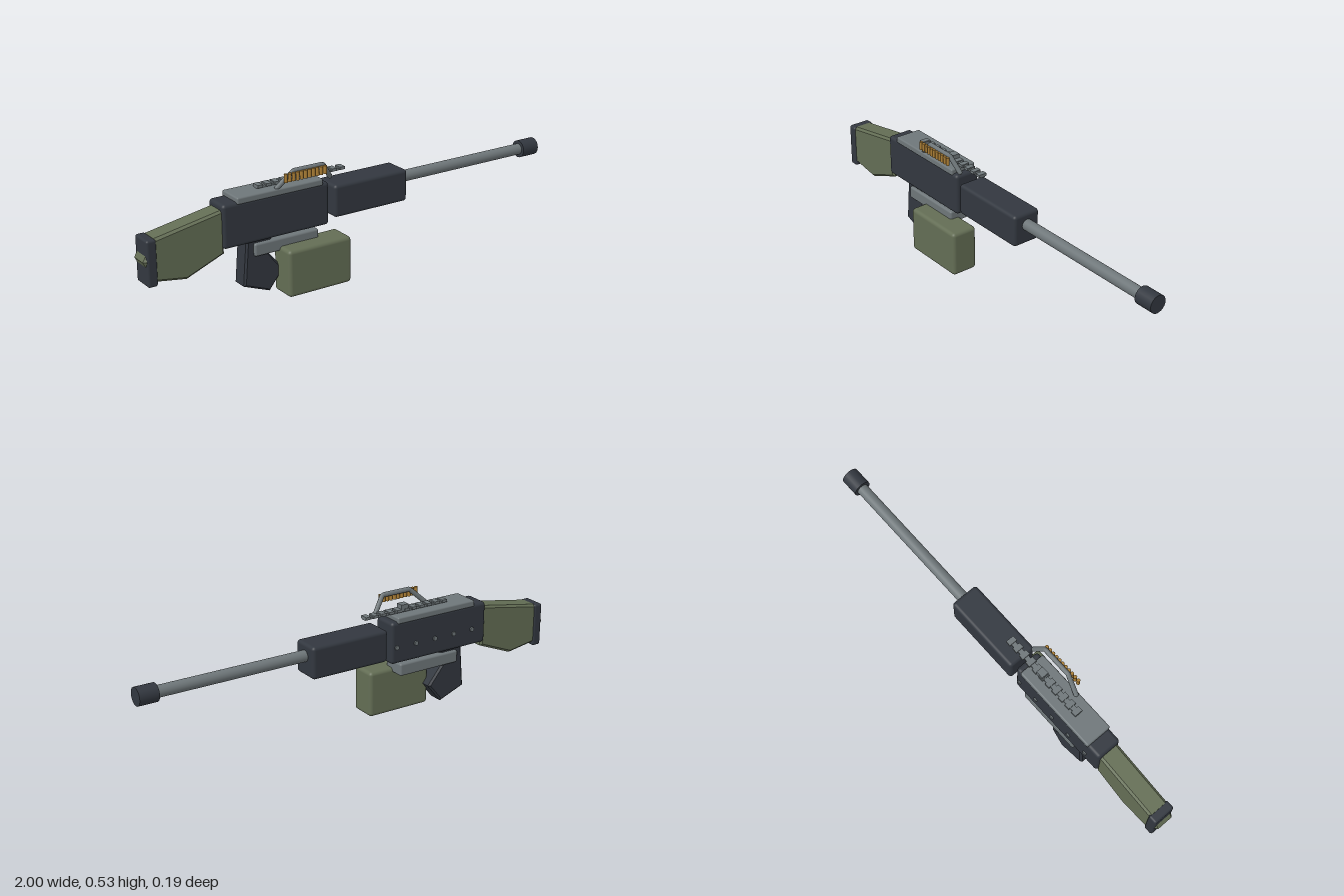
import * as THREE from 'three';
import { RoundedBoxGeometry } from 'three/addons/geometries/RoundedBoxGeometry.js';

const AXIS_Z = -0.03; // centre plane of the main body

function material(name, color) {
  const m = new THREE.MeshStandardMaterial({ color });
  m.name = name;
  return m;
}

export function createModel() {
  const model = new THREE.Group();
  const dark = material('dark gunmetal', 0x32373f);
  const steel = material('grey steel', 0x6e7679);
  const olive = material('olive', 0x636d54);
  const brass = material('brass', 0xa87c34);

  function add(name, geometry, mat, x = 0, y = 0, z = 0, parent = model) {
    const mesh = new THREE.Mesh(geometry, mat);
    mesh.name = name;
    mesh.position.set(x, y, z);
    parent.add(mesh);
    return mesh;
  }

  // Rounded box given by its extents on each axis
  function block(name, mat, [x0, x1], [y0, y1], [z0, z1], radius) {
    const g = new RoundedBoxGeometry(x1 - x0, y1 - y0, z1 - z0, 3, radius);
    return add(name, g, mat, (x0 + x1) / 2, (y0 + y1) / 2, (z0 + z1) / 2);
  }

  // Side profile extruded across z, with chamfered rims inside the outline
  function slab(name, mat, points, width, bevel) {
    const shape = new THREE.Shape(points.map(([x, y]) => new THREE.Vector2(x, y)));
    const g = new THREE.ExtrudeGeometry(shape, {
      depth: width - 2 * bevel, bevelEnabled: true, bevelSize: bevel,
      bevelThickness: bevel, bevelOffset: -bevel, bevelSegments: 1,
    });
    return add(name, g, mat, 0, 0, AXIS_Z - width / 2 + bevel);
  }

  // Cylinder lying along x
  function rod(name, mat, x0, x1, y, radius) {
    const g = new THREE.CylinderGeometry(radius, radius, x1 - x0, 24);
    g.rotateZ(Math.PI / 2);
    return add(name, g, mat, (x0 + x1) / 2, y, AXIS_Z);
  }

  // Main body
  block('receiver', dark, [-0.655, -0.155], [0.25, 0.437], [-0.088, 0.028], 0.015);
  block('handguard', dark, [-0.13, 0.24], [0.273, 0.415], [-0.095, 0.035], 0.015);
  block('topCover', steel, [-0.59, -0.185], [0.428, 0.457], [-0.091, 0.031], 0.007);
  block('feedBlock', steel, [-0.51, -0.205], [0.185, 0.241], [-0.084, 0.024], 0.009);
  block('ammoBox', olive, [-0.395, -0.09], [0, 0.205], [-0.025, 0.097], 0.016);

  // Barrel and muzzle
  rod('barrel', steel, 0.2, 0.95, 0.362, 0.025);
  rod('muzzle', dark, 0.915, 1, 0.362, 0.039);

  // Stock and butt pad
  slab('stock', olive, [
    [-0.645, 0.415], [-0.95, 0.361], [-1, 0.272], [-0.95, 0.181], [-0.815, 0.16], [-0.645, 0.228],
  ], 0.092, 0.01);
  block('buttPad', dark, [-0.987, -0.944], [0.165, 0.361], [-0.081, 0.021], 0.01);

  // Pistol grip
  slab('grip', dark, [
    [-0.54, 0.26], [-0.557, 0.06], [-0.435, 0.013], [-0.367, 0.097], [-0.435, 0.18], [-0.42, 0.26],
  ], 0.08, 0.008);

  // Top rail with cross slots and a small sight
  const rail = new THREE.Group();
  rail.name = 'rail';
  model.add(rail);
  add('railStrip', new THREE.BoxGeometry(0.42, 0.01, 0.022), steel, -0.26, 0.463, AXIS_Z, rail);
  const tooth = new THREE.BoxGeometry(0.024, 0.012, 0.038);
  for (let i = 0; i < 11; i++) {
    add('railTooth', tooth, steel, -0.458 + i * 0.0396, 0.467, AXIS_Z, rail);
  }
  add('sightBlock', new THREE.BoxGeometry(0.035, 0.03, 0.033), steel, -0.25, 0.477, AXIS_Z, rail);

  // Carry handle leaning out to the front side
  const handlePath = new THREE.CurvePath();
  const corners = [
    [-0.4, 0.458, 0.018], [-0.33, 0.522, 0.035], [-0.19, 0.522, 0.035], [-0.145, 0.458, 0.018],
  ].map((p) => new THREE.Vector3(...p));
  for (let i = 0; i < 3; i++) handlePath.add(new THREE.LineCurve3(corners[i], corners[i + 1]));
  add('carryHandle', new THREE.TubeGeometry(handlePath, 36, 0.0105, 10), steel);
  for (const p of [corners[0], corners[3]]) {
    add('handleFoot', new THREE.SphereGeometry(0.0105, 10, 8), steel, p.x, p.y, p.z);
  }

  // Row of cartridges beside the handle
  const cartridge = new THREE.CylinderGeometry(0.008, 0.008, 0.035, 10);
  for (let i = 0; i < 11; i++) {
    add('cartridge', cartridge, brass, -0.376 + i * 0.0188, 0.503, 0.049);
  }

  // Rivets along the far side of the receiver
  const rivet = new THREE.CylinderGeometry(0.01, 0.01, 0.012, 12);
  rivet.rotateX(Math.PI / 2);
  for (let i = 0; i < 5; i++) {
    add('rivet', rivet, steel, -0.58 + i * 0.1, 0.325, -0.088);
  }

  return model;
}
